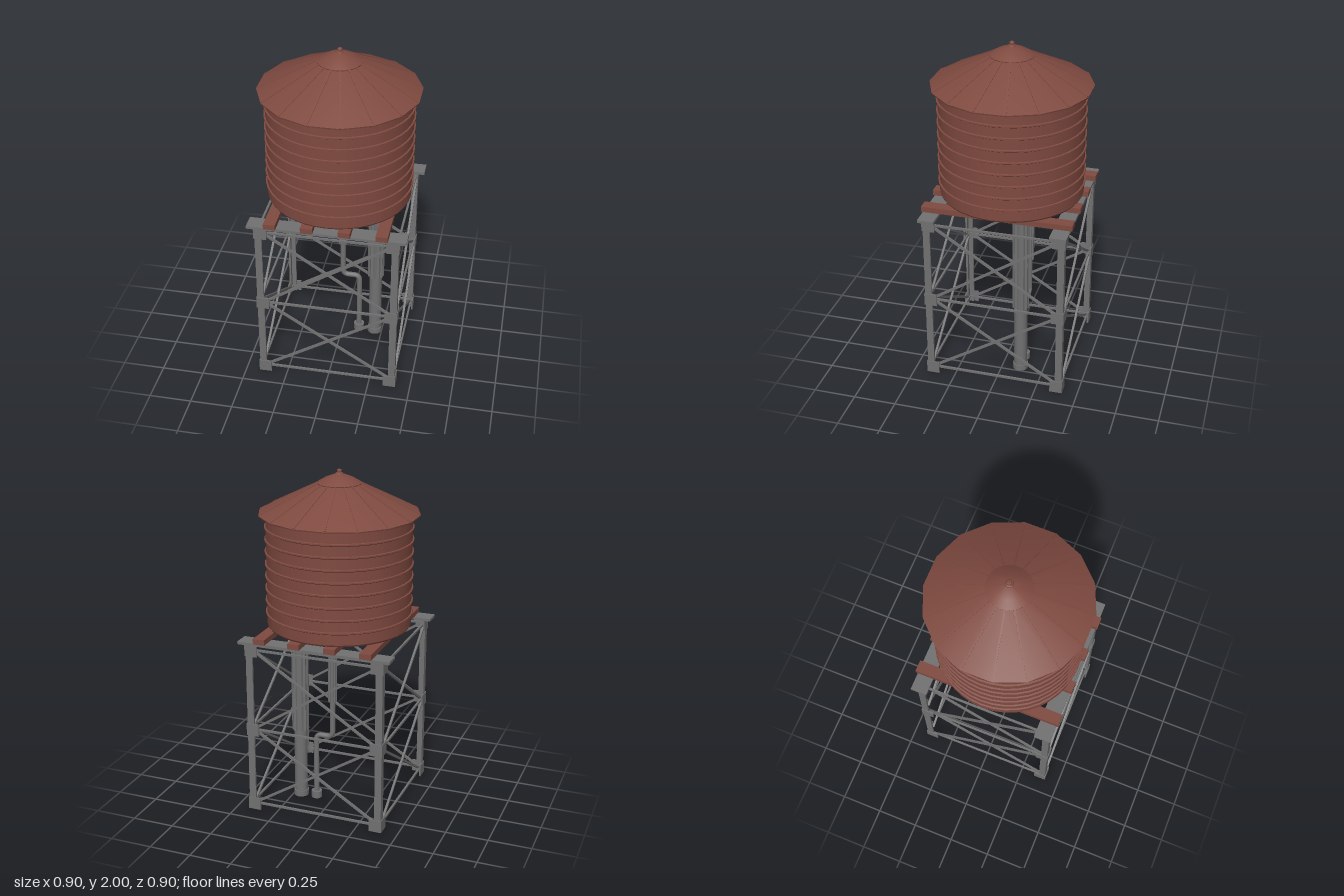
import * as THREE from 'three';
import { toCreasedNormals } from 'three/addons/utils/BufferGeometryUtils.js';

const rust = new THREE.MeshStandardMaterial({ color: 0x7f4a40 });
rust.name = 'rustRed';
const steel = new THREE.MeshStandardMaterial({ color: 0x717171 });
steel.name = 'steelGrey';

function add(parent, name, geometry, material, x = 0, y = 0, z = 0) {
  const mesh = new THREE.Mesh(geometry, material);
  mesh.name = name;
  mesh.position.set(x, y, z);
  parent.add(mesh);
  return mesh;
}

// Box given by its extents on each axis
function box(parent, name, material, [x0, x1], [y0, y1], [z0, z1]) {
  return add(parent, name, new THREE.BoxGeometry(x1 - x0, y1 - y0, z1 - z0), material,
    (x0 + x1) / 2, (y0 + y1) / 2, (z0 + z1) / 2);
}

// Square bar between two points
function bar(parent, name, a, b, width, material) {
  const p = new THREE.Vector3(...a), q = new THREE.Vector3(...b);
  const dir = q.clone().sub(p);
  const mesh = add(parent, name, new THREE.BoxGeometry(width, dir.length(), width), material);
  mesh.position.copy(p).add(q).multiplyScalar(0.5);
  mesh.quaternion.setFromUnitVectors(new THREE.Vector3(0, 1, 0), dir.normalize());
  return mesh;
}

// Turned shape, profile listed from bottom to top
function turned(profile, sides, start = 0) {
  const points = profile.map(([r, y]) => new THREE.Vector2(r, y));
  return toCreasedNormals(new THREE.LatheGeometry(points, sides, start), 0.5);
}

// Upright pipe between two heights
function pipe(parent, name, x, z, y0, y1, r) {
  return add(parent, name, new THREE.CylinderGeometry(r, r, y1 - y0, 20), steel, x, (y0 + y1) / 2, z);
}

// Ribbed pipe jacket with alternating ridge radius
function jacket(parent, name, x, z, y0, y1, r) {
  const shape = new THREE.Shape();
  const n = 24;
  for (let i = 0; i < n; i++) {
    const a = (i / n) * Math.PI * 2, s = i % 2 ? r * 0.88 : r;
    if (i) shape.lineTo(Math.cos(a) * s, Math.sin(a) * s);
    else shape.moveTo(s, 0);
  }
  const geometry = new THREE.ExtrudeGeometry(shape, { depth: y1 - y0, bevelEnabled: false });
  geometry.rotateX(-Math.PI / 2);
  return add(parent, name, geometry, steel, x, y0, z);
}

function makeTank() {
  const tank = new THREE.Group();
  tank.name = 'tank';
  add(tank, 'tankWall', turned([[0, 1.1], [0.41, 1.1], [0.416, 1.11], [0.416, 1.76], [0, 1.76]], 40), rust);
  // Hoops dividing the wall into courses
  for (let i = 0; i < 9; i++) {
    const y = 1.18 + i * 0.0713;
    add(tank, 'hoop', turned([[0.412, y - 0.012], [0.425, y - 0.004], [0.425, y + 0.004], [0.412, y + 0.007]], 40), rust);
  }
  return tank;
}

function makeRoof() {
  const roof = new THREE.Group();
  roof.name = 'roof';
  add(roof, 'roofCone', turned([[0, 1.75], [0.458, 1.75], [0.46, 1.758], [0.12, 1.924], [0, 1.94]], 16, Math.PI / 16), rust);
  // Seams running down every corner
  for (let i = 0; i < 16; i++) {
    const a = ((i + 0.5) / 16) * Math.PI * 2;
    const seam = new THREE.Group();
    seam.name = 'roofSeam';
    seam.rotation.y = a;
    bar(seam, 'seamStrip', [0, 1.923, 0.12], [0, 1.759, 0.455], 0.008, rust);
    roof.add(seam);
  }
  // Vent cap and finial
  add(roof, 'ventCap', turned([[0, 1.918], [0.124, 1.918], [0.126, 1.926], [0.08, 1.953], [0.025, 1.975], [0, 1.975]], 32), rust);
  add(roof, 'finial', turned([[0.026, 1.97], [0.022, 1.98], [0.014, 1.983], [0.014, 1.996], [0.01, 2], [0, 2]], 12), rust);
  return roof;
}

function makeTower() {
  const tower = new THREE.Group();
  tower.name = 'tower';
  const levels = [0.05, 0.527, 1.018];
  for (let k = 0; k < 4; k++) {
    const side = new THREE.Group();
    side.name = 'towerSide';
    side.rotation.y = (k * Math.PI) / 2;
    tower.add(side);
    // Angle-iron corner leg
    box(side, 'legFlange', steel, [0.37, 0.41], [0.012, 1.05], [0.398, 0.41]);
    box(side, 'legFlange', steel, [0.398, 0.41], [0.012, 1.05], [0.37, 0.398]);
    for (const y of levels) {
      // Joint plates wrapped round both ends
      for (const s of [-1, 1]) {
        const plate = box(side, 'jointPlate', steel, [0.34, 0.415], [y - 0.037, y + 0.037], [0.405, 0.415]);
        plate.position.x *= s;
      }
      bar(side, 'crossBar', [-0.4, y, 0.397], [0.4, y, 0.397], 0.012, steel);
    }
    // Crossed braces, one pair per bay
    for (let j = 0; j < 2; j++) {
      const y0 = levels[j] + 0.01, y1 = levels[j + 1] - 0.01;
      bar(side, 'diagonalBrace', [-0.365, y0, 0.402], [0.365, y1, 0.402], 0.013, steel);
      bar(side, 'diagonalBrace', [0.365, y0, 0.39], [-0.365, y1, 0.39], 0.013, steel);
    }
  }
  // Flat girders across front and back
  for (const s of [-1, 1]) {
    box(tower, 'girderPlate', steel, [-0.452, 0.452], [1.052, 1.068], [0.33, 0.426]).position.z *= s;
    box(tower, 'girderRib', steel, [-0.33, 0.33], [1.04, 1.052], [0.35, 0.4]).position.z *= s;
  }
  // Timber joists under the tank
  for (const x of [-0.316, -0.106, 0.106, 0.316]) {
    box(tower, 'joist', rust, [x - 0.034, x + 0.034], [1.068, 1.1], [-0.437, 0.437]);
  }
  return tower;
}

function makePipes() {
  const pipes = new THREE.Group();
  pipes.name = 'pipes';
  const z = -0.11;
  // Wide main pipe
  jacket(pipes, 'mainJacket', 0.205, z, 0.435, 1.1, 0.051);
  pipe(pipes, 'mainPipe', 0.205, z, 0.01, 0.45, 0.039);
  pipe(pipes, 'mainBase', 0.205, z, 0, 0.035, 0.045);
  // Narrow pipe with a sideways offset
  pipe(pipes, 'feedCollar', 0, z, 1.02, 1.1, 0.042);
  jacket(pipes, 'feedJacket', 0, z, 0.645, 1.03, 0.027);
  const path = new THREE.CurvePath();
  const v = (x, y) => new THREE.Vector3(x, y, z);
  path.add(new THREE.LineCurve3(v(0, 0.66), v(0, 0.455)));
  path.add(new THREE.QuadraticBezierCurve3(v(0, 0.455), v(0, 0.415), v(0.035, 0.415)));
  path.add(new THREE.LineCurve3(v(0.035, 0.415), v(0.07, 0.415)));
  path.add(new THREE.QuadraticBezierCurve3(v(0.07, 0.415), v(0.104, 0.415), v(0.104, 0.375)));
  path.add(new THREE.LineCurve3(v(0.104, 0.375), v(0.104, 0.02)));
  add(pipes, 'feedPipe', new THREE.TubeGeometry(path, 100, 0.016, 14), steel);
  pipe(pipes, 'feedBase', 0.104, z, 0, 0.042, 0.032);
  return pipes;
}

export function createModel() {
  const model = new THREE.Group();
  model.name = 'waterTower';
  model.add(makeTank(), makeRoof(), makeTower(), makePipes());
  return model;
}
